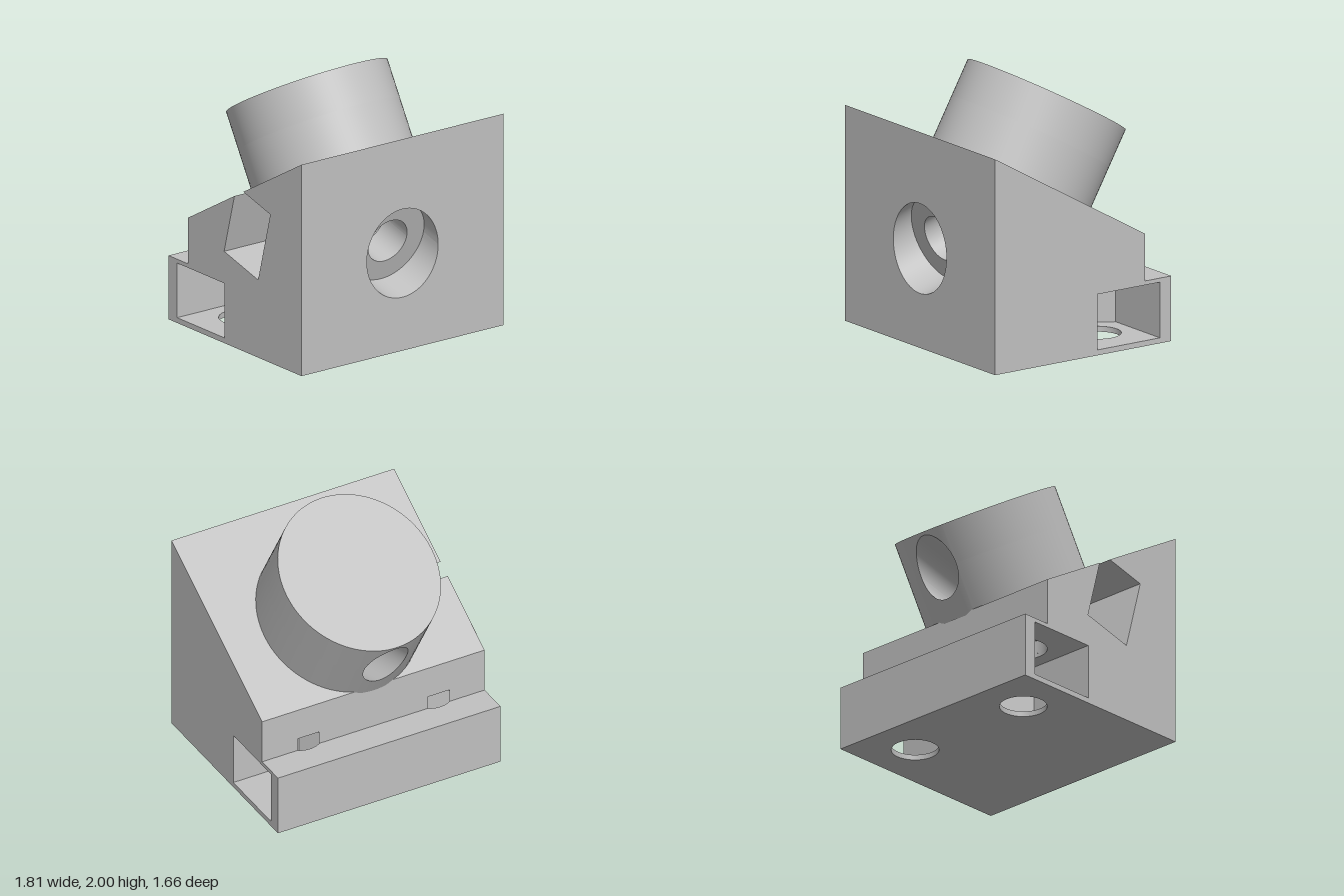
import * as THREE from 'three';

const W = 0.905, FRONT = 0.83, BACK = -0.49, STEP_Z = -0.72, STEP_Y = 0.48, TOP = 1.59;
const S30 = 0.5, C30 = Math.sqrt(3) / 2;
const S15 = Math.sin(Math.PI / 12), C15 = Math.cos(Math.PI / 12);
const R = 0.17;                       // bolt hole radius
const NUT = 0.275;                    // half the width of a nut slot
const VX = NUT / Math.sqrt(3);        // hexagon corner offset
const BORE_Y = 0.733;                 // height where the tilted bore meets the front
const SLOT0 = 0.45, SLOT1 = 0.86, SLOPE_S = 1.05;  // upper nut slot along the bore
const BASE_Y = TOP - (FRONT - BACK) * S30 / C30;
const RX = 0.59, RE = 0.63, KY = 1.6875, KZ = -0.285;  // oval knob and its top centre

const metal = new THREE.MeshStandardMaterial({ color: 0xc0c0c0, side: THREE.DoubleSide });
metal.name = 'plain grey';

// Bore frame: across (x), up from axis (v), depth along axis (s)
const bore = (x, v, s) => [x, BORE_Y + C15 * v + S15 * s, FRONT + S15 * v - C15 * s];
// Slope frame: x and distance down the slope
const slope = (x, d) => [x, TOP - S30 * d, FRONT - C30 * d];
// Knob frame: angle from the back and height along the axis, measured from its top
const knob = (t, h, k = 1) => {
  const e = k * RE * Math.cos(t);
  return [k * RX * Math.sin(t), KY - S30 * e + C30 * h, KZ - C30 * e - S30 * h];
};
// Depth along the bore where it breaks through the knob wall
const exitS = (x, v) => {
  const [, y, z] = bore(x, v, 0);
  const e0 = -C30 * (z - KZ) - S30 * (y - KY);
  return (RE * Math.sqrt(1 - (x / RX) ** 2) - e0) / Math.SQRT1_2;
};

const poly = (pts) => new THREE.Shape(pts.map(([a, b]) => new THREE.Vector2(a, b)));
const rect = (a0, b0, a1, b1) => poly([[a0, b0], [a1, b0], [a1, b1], [a0, b1]]);
const oval = (a, b, ra, rb = ra) => new THREE.Path().absellipse(a, b, ra, rb, 0, Math.PI * 2);

export function createModel() {
  const model = new THREE.Group();
  let part;
  const begin = (name) => {
    part = new THREE.Group();
    part.name = name;
    model.add(part);
  };
  const add = (name, geo) => {
    geo.computeVertexNormals();
    const mesh = new THREE.Mesh(geo, metal);
    mesh.name = name;
    part.add(mesh);
  };
  // Flat face with holes, placed by a mapping from 2D to 3D
  const face = (name, shape, map, holes = []) => {
    shape.holes.push(...holes);
    const geo = new THREE.ShapeGeometry(shape, 32);
    const p = geo.attributes.position;
    for (let i = 0; i < p.count; i++) p.setXYZ(i, ...map(p.getX(i), p.getY(i)));
    add(name, geo);
  };
  // Curved or folded sheet over a grid
  const sheet = (name, nu, nv, fn, flat = false) => {
    const pos = [], idx = [];
    for (let i = 0; i <= nu; i++) for (let j = 0; j <= nv; j++) pos.push(...fn(i, j / nv));
    for (let i = 0; i < nu; i++) for (let j = 0; j < nv; j++) {
      const a = i * (nv + 1) + j, b = a + nv + 1;
      idx.push(a, b, a + 1, b, b + 1, a + 1);
    }
    const geo = new THREE.BufferGeometry();
    geo.setAttribute('position', new THREE.Float32BufferAttribute(pos, 3));
    geo.setIndex(idx);
    add(name, flat ? geo.toNonIndexed() : geo);
  };
  const N = 64;
  const boreTube = (name, r, from, to) => sheet(name, N, 1, (i, t) => {
    const f = i / N * Math.PI * 2, x = r * Math.cos(f), v = r * Math.sin(f);
    return bore(x, v, from(x, v) * (1 - t) + to(x, v) * t);
  });

  // Wedge body
  begin('wedgeBody');
  const screwX = 0.53, screwZ = -0.345, floorY = 0.04, ceilY = 0.45, screwTop = 0.58;
  const cut = Math.asin((screwZ - BACK) / R), chord = R * Math.cos(cut);
  const flat = (y) => (x, z) => [x, y, z];
  const upright = (z) => (x, y) => [x, y, z];
  const boreZY = (v, s) => { const [, y, z] = bore(0, v, s); return [z, y]; };
  face('frontFace', rect(-W, 0, W, TOP), upright(FRONT), [oval(0, BORE_Y, 0.32, 0.32 / C15)]);
  face('bottomFace', rect(-W, STEP_Z, W, FRONT), flat(0),
    [-1, 1].map((m) => oval(m * screwX, screwZ, R)));
  face('stepBack', rect(-W, 0, W, STEP_Y), upright(STEP_Z));

  // Step and rear wall, both notched by the screw holes
  const step = new THREE.Shape();
  step.moveTo(-W, STEP_Z).lineTo(W, STEP_Z).lineTo(W, BACK);
  for (const x of [screwX, -screwX]) {
    step.lineTo(x + chord, BACK);
    step.absarc(x, screwZ, R, -cut, -Math.PI + cut, true);
  }
  step.lineTo(-W, BACK);
  face('stepTop', step, flat(STEP_Y));
  const notch = (x) => [[x - chord, STEP_Y], [x - chord, screwTop], [x + chord, screwTop], [x + chord, STEP_Y]];
  face('rearWall', poly([[-W, STEP_Y], ...notch(-screwX), ...notch(screwX),
    [W, STEP_Y], [W, BASE_Y], [-W, BASE_Y]]), upright(BACK));

  // Side faces; the right one is notched by the upper nut slot
  const slotNotch = [[NUT, SLOPE_S - NUT], [NUT, SLOT0], [-NUT, SLOT0], [-NUT, SLOT1], [SLOPE_S - SLOT1, SLOT1]]
    .map(([v, s]) => boreZY(v, s));
  for (const m of [-1, 1]) {
    face(m < 0 ? 'rightSide' : 'leftSide', poly([[FRONT, 0], [FRONT, TOP], ...(m < 0 ? slotNotch : []),
      [BACK, BASE_Y], [BACK, STEP_Y], [STEP_Z, STEP_Y], [STEP_Z, 0]]), (z, y) => [m * W, y, z],
      [rect(screwZ - NUT, floorY, screwZ + NUT, ceilY)]);
  }
  const dA = (FRONT - slotNotch[0][0]) / C30, dB = (FRONT - slotNotch[4][0]) / C30;
  const dEnd = (FRONT - BACK) / C30;
  face('slopedTop', poly([[-W, 0], [W, 0], [W, dEnd], [-W, dEnd], [-W, dB], [-0.55, dB], [-0.55, dA], [-W, dA]]),
    slope, [oval(0, SLOPE_S * C15 / C30, R, R * Math.SQRT2)]);

  // Lower nut slots with vertical screw holes
  for (const m of [-1, 1]) {
    begin(m < 0 ? 'rightNutSlot' : 'leftNutSlot');
    const plan = [[W, NUT], [screwX - VX, NUT], [screwX - 2 * VX, 0], [screwX - VX, -NUT], [W, -NUT]]
      .map(([x, z]) => [m * x, screwZ + z]);
    sheet('slotWalls', 4, 1, (i, t) => [plan[i][0], floorY + (ceilY - floorY) * t, plan[i][1]], true);
    for (const y of [floorY, ceilY])
      face(y === floorY ? 'slotFloor' : 'slotCeiling', poly(plan), flat(y), [oval(m * screwX, screwZ, R)]);
    const screwTube = (y0, y1, a0, a1) => sheet('screwHole', N, 1, (i, t) => {
      const a = a0 + (a1 - a0) * i / N;
      return [m * screwX + R * Math.cos(a), y0 + (y1 - y0) * t, screwZ + R * Math.sin(a)];
    });
    screwTube(0, floorY, 0, Math.PI * 2);
    screwTube(ceilY, STEP_Y, 0, Math.PI * 2);
    screwTube(STEP_Y, screwTop, -cut, Math.PI + cut);
    face('screwHoleEnd', new THREE.Shape().absarc(m * screwX, screwZ, R, -cut, Math.PI + cut), flat(screwTop));
  }

  // Tilted bore with a counterbore at the front
  begin('tiltedBore');
  const seat = 0.178;
  boreTube('counterbore', 0.32, (x, v) => v * S15 / C15, () => seat);
  face('counterboreSeat', new THREE.Shape().absarc(0, 0, 0.32, 0, Math.PI * 2),
    (x, v) => bore(x, v, seat), [oval(0, 0, R)]);
  boreTube('frontBore', R, () => seat, () => SLOT0);
  boreTube('rearBore', R, () => SLOT1, exitS);

  // Upper nut slot, entered from the right side
  begin('upperNutSlot');
  const trim = SLOPE_S - SLOT1, low = [[-W, -NUT], [VX, -NUT], [2 * VX, 0]];
  face('slotFront', poly([...low, [VX, NUT], [-W, NUT]]), (x, v) => bore(x, v, SLOT0), [oval(0, 0, R)]);
  face('slotBack', poly([...low, [2 * VX - trim / Math.sqrt(3), trim], [-W, trim]]),
    (x, v) => bore(x, v, SLOT1), [oval(0, 0, R)]);
  const rim = [...low, [VX, NUT]];
  sheet('slotWalls', 3, 1, (i, t) => bore(...rim[i], SLOT0 + (SLOT1 - SLOT0) * t), true);
  sheet('slotRoof', 1, 1, (i, t) => bore(i ? VX : -W, NUT, SLOT0 + (SLOPE_S - NUT - SLOT0) * t), true);

  // Oval knob; its wall is split above and below the bore exit
  begin('knob');
  const edge = Math.asin(R / RX), thetas = [];
  for (let i = 0; i < 32; i++) thetas.push(Math.asin(R * Math.sin((i / 32 - 0.5) * Math.PI) / RX));
  for (let i = 0; i <= 80; i++) thetas.push(edge + (2 * Math.PI - 2 * edge) * i / 80);
  const holeH = (t, side) => {
    const q = Math.cos(t) < 0 ? 1 : Math.min(1, RX * Math.abs(Math.sin(t)) / R);
    const x = q * R, v = side * R * Math.sqrt(Math.max(0, 1 - q * q));
    const [, y, z] = bore(x, v, exitS(x, v));
    return C30 * (y - KY) - S30 * (z - KZ);
  };
  const cols = thetas.length - 1;
  sheet('knobUpperWall', cols, 1, (i, t) => knob(thetas[i], holeH(thetas[i], 1) * t));
  sheet('knobLowerWall', cols, 1, (i, t) => knob(thetas[i], holeH(thetas[i], -1) * (1 - t) - 0.665 * t));
  face('knobTop', poly(thetas.slice(0, -1).map((t) => [Math.sin(t), Math.cos(t)])),
    (a, b) => knob(Math.atan2(a, b), 0, Math.hypot(a, b)));
  return model;
}
